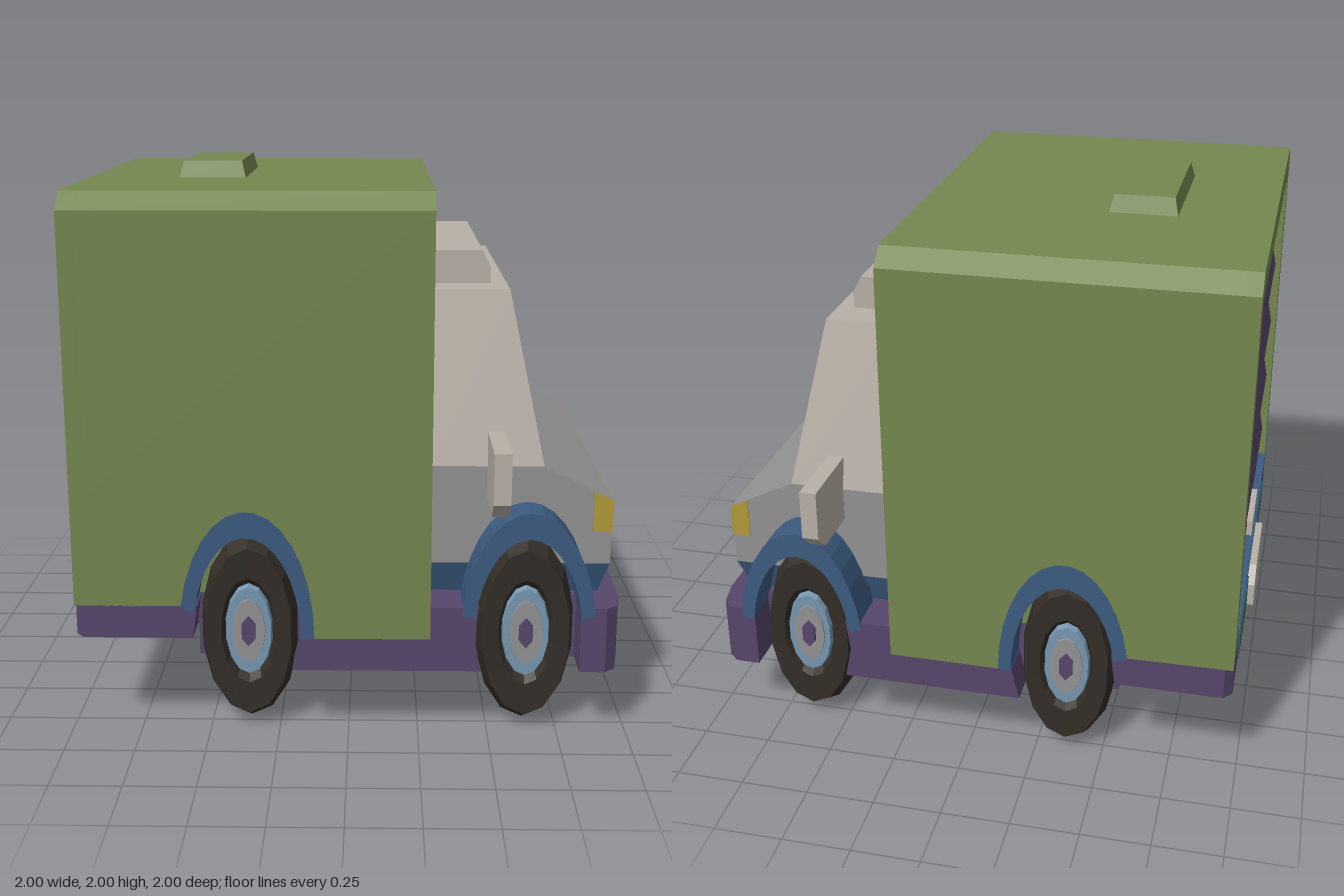
import * as THREE from 'three';

const mat = (color) => new THREE.MeshStandardMaterial({ color, flatShading: true });
const M = {
  green: mat(0x74874f), purple: mat(0x57466c), blue: mat(0x3c5b80), teal: mat(0x346065),
  cab: mat(0xb8b0a6), grey: mat(0x929292), yellow: mat(0xb09a38), tyre: mat(0x332d27),
  steel: mat(0x7797b0),
};

export function createModel() {
  const root = new THREE.Group();
  const add = (name, geo, material, parent = root) => {
    const mesh = new THREE.Mesh(geo, material);
    mesh.name = name;
    parent.add(mesh);
    return mesh;
  };
  const toShape = (pts) => new THREE.Shape(pts.map(([x, y]) => new THREE.Vector2(x, y)));
  const extrude = (shape, depth) =>
    new THREE.ExtrudeGeometry(shape, { depth, bevelEnabled: false, curveSegments: 12 });
  // side profile (x, y) swept from z0 to z1
  const sideways = (pts, z0, z1) => extrude(toShape(pts), z1 - z0).translate(0, 0, z0);
  // end profile (z, y) swept from x0 to x1
  const lengthways = (shape, x0, x1) =>
    extrude(shape, x1 - x0).rotateY(Math.PI / 2).translate(x0, 0, 0);
  // plan (x, z) swept from y0 to y1
  const upright = (pts, y0, y1) =>
    extrude(toShape(pts), y1 - y0).rotateX(-Math.PI / 2).translate(0, y0, 0);
  const box = (x0, x1, y0, y1, z0, z1) =>
    new THREE.BoxGeometry(x1 - x0, y1 - y0, z1 - z0)
      .translate((x0 + x1) / 2, (y0 + y1) / 2, (z0 + z1) / 2);
  // box whose bottom and top are each [xMin, xMax, half width, y]
  const taper = (bottom, top) => {
    const geo = new THREE.BoxGeometry(1, 1, 1);
    const p = geo.attributes.position;
    for (let i = 0; i < p.count; i++) {
      const [a, b, w, y] = p.getY(i) > 0 ? top : bottom;
      p.setXYZ(i, p.getX(i) > 0 ? b : a, y, p.getZ(i) > 0 ? w : -w);
    }
    return geo;
  };
  const arc = (cx, rx, ry, a0, a1, n = 14) =>
    Array.from({ length: n + 1 }, (_, i) => {
      const a = a0 + ((a1 - a0) * i) / n;
      return [cx + rx * Math.cos(a), 0.37 + ry * Math.sin(a)];
    });
  // add a side part on both sides
  const bothSides = (name, pts, z0, z1, material) => {
    add(name + 'Left', sideways(pts, z0, z1), material);
    add(name + 'Right', sideways(pts, -z1, -z0), material);
  };

  const W = 0.865, IN = 0.73, REAR = -0.36, FRONT = 0.635;

  // cargo box: solid core narrowed at the bottom for the wheel wells
  add('cargoBox', lengthways(toShape([
    [-IN, 0.49], [IN, 0.49], [IN, 0.9], [W, 0.9], [W, 1.88], [0.8, 1.94],
    [-0.8, 1.94], [-W, 1.88], [-W, 0.9], [-IN, 0.9],
  ]), -0.91, 0.29), M.green);
  // rear frame around the door opening
  const frame = toShape([[-W, 0.49], [W, 0.49], [W, 1.88], [0.8, 1.94], [-0.8, 1.94], [-W, 1.88]]);
  frame.holes.push(new THREE.Path(
    [[-0.76, 0.55], [-0.76, 1.83], [0.76, 1.83], [0.76, 0.55]].map(([x, y]) => new THREE.Vector2(x, y))));
  add('rearFrame', lengthways(frame, -0.97, -0.91), M.green);
  // lower side panels with rear wheel arch
  bothSides('cargoSidePanel', [
    [-0.91, 0.9], [-0.91, 0.49],
    ...arc(REAR, 0.2, 0.39, Math.PI - 0.3, 0), [0.29, 0.37], [0.29, 0.9],
  ], IN, W, M.green);
  add('roofHatch', taper([-0.635, -0.39, 0.27, 1.94], [-0.62, -0.405, 0.245, 2.0]), M.green);

  // roller door with ridged slats
  const door = [[-0.91, 1.83], [-0.91, 0.55]];
  for (let i = 0; i < 5; i++) {
    const y = 0.55 + i * 0.256;
    door.push([-0.925, y], [-0.95, y + 0.128]);
  }
  door.push([-0.925, 1.83]);
  add('rollerDoor', sideways(door, -0.76, 0.76), M.purple);
  add('doorHandle', box(-0.97, -0.93, 0.63, 0.69, -0.14, 0.14), M.cab);
  add('doorSill', box(-0.973, -0.91, 0.52, 0.55, -0.76, 0.76), M.blue);

  // chassis floor, side skirts and bumpers
  add('chassisFloor', sideways([
    [-0.93, 0.37], [-0.545, 0.37], [-0.545, 0.25], [0.93, 0.25], [0.93, 0.49], [-0.93, 0.49],
  ], -IN, IN), M.purple);
  bothSides('rearSkirt', [[-0.91, 0.37], [-0.55, 0.37], [-0.535, 0.49], [-0.91, 0.49]], IN, W, M.purple);
  bothSides('middleSkirt', [
    [-0.2, 0.25], [0.47, 0.25], [0.445, 0.37], [0.46, 0.49], [0.29, 0.49],
    [0.29, 0.37], [-0.17, 0.37],
  ], IN, W, M.purple);
  add('frontBumper', upright([
    [0.82, -W], [0.91, -W], [0.95, -0.83], [0.97, -0.73],
    [0.97, 0.73], [0.95, 0.83], [0.91, W], [0.82, W],
  ], 0.25, 0.49), M.purple);
  add('rearBumper', upright([
    [-0.9, -W], [-0.9, W], [-0.94, W], [-0.97, 0.83], [-0.97, -0.83], [-0.94, -W],
  ], 0.37, 0.49), M.purple);
  add('rearPanel', box(-0.975, -0.95, 0.38, 0.485, -0.62, 0.62), M.teal);

  // wheel arches and wheels
  for (const [name, cx, a0, a1] of [['rear', REAR, 0, Math.PI - 0.25], ['front', FRONT, 0.2, Math.PI - 0.2]]) {
    bothSides(name + 'WheelArch', [
      ...arc(cx, 0.24, 0.47, a0, a1), ...arc(cx, 0.192, 0.375, a1, a0),
    ], IN - 0.02, W + 0.003, M.blue);

    for (const side of [1, -1]) {
      const wheel = new THREE.Group();
      wheel.name = name + (side > 0 ? 'WheelLeft' : 'WheelRight');
      const part = (label, geo, material) =>
        add(label, geo.rotateX(Math.PI / 2).scale(0.5, 1, 1), material, wheel);
      const profile = [
        [0, -0.2], [0.29, -0.2], [0.345, -0.14], [0.368, 0], [0.36, 0.12],
        [0.315, 0.2], [0.2, 0.195], [0.17, 0.165], [0, 0.165],
      ].map(([r, y]) => new THREE.Vector2(r, y));
      part('tyre', new THREE.LatheGeometry(profile, 14), M.tyre);
      part('rim', new THREE.CylinderGeometry(0.165, 0.185, 0.05, 14).translate(0, 0.165, 0), M.steel);
      part('hub', new THREE.CylinderGeometry(0.12, 0.135, 0.05, 12).translate(0, 0.17, 0), M.grey);
      part('hubCap', new THREE.CylinderGeometry(0.055, 0.07, 0.05, 6).translate(0, 0.18, 0), M.purple);
      wheel.position.set(cx, 0.368, side * 0.6);
      if (side < 0) wheel.rotation.y = Math.PI;
      root.add(wheel);
    }
  }

  // cab
  add('cabBase', taper([0.29, 0.9, 0.69, 0.49], [0.29, 0.935, IN, 0.61]), M.blue);
  add('cabLower', sideways([
    [0.29, 0.61], [0.935, 0.61], [0.935, 0.85], [0.69, 0.97], [0.29, 0.97],
  ], -IN, IN), M.grey);
  add('cabUpper', taper([0.29, 0.69, IN, 0.97], [0.29, 0.565, 0.6, 1.58]), M.cab);
  add('cabRoofBox', sideways([
    [0.29, 1.58], [0.505, 1.58], [0.505, 1.64], [0.475, 1.7], [0.29, 1.7],
  ], -0.465, 0.465), M.cab);
  bothSides('headlight', [
    [0.87, 0.73], [0.939, 0.73], [0.939, 0.846], [0.87, 0.878],
  ], 0.37, IN + 0.004, M.yellow);

  // side mirrors, with a cut lower outer corner
  for (const s of [1, -1]) {
    add(s > 0 ? 'mirrorLeft' : 'mirrorRight', lengthways(toShape(
      [[0.7, 0.85], [0.935, 0.85], [1, 0.91], [1, 1.09], [0.7, 1.09]].map(([z, y]) => [s * z, y]),
    ), 0.49, 0.55), M.cab);
  }

  // eight-sided plates on both bumpers
  const plate = (y0, y1) => toShape([
    [-0.17, y0], [0.17, y0], [0.23, y0 + 0.06], [0.23, y1 - 0.06],
    [0.17, y1], [-0.17, y1], [-0.23, y1 - 0.06], [-0.23, y0 + 0.06],
  ]);
  add('frontPlate', lengthways(plate(0.19, 0.395), 0.965, 1), M.cab);
  add('rearPlate', lengthways(plate(0.31, 0.52), -1, -0.965), M.cab);

  return root;
}
